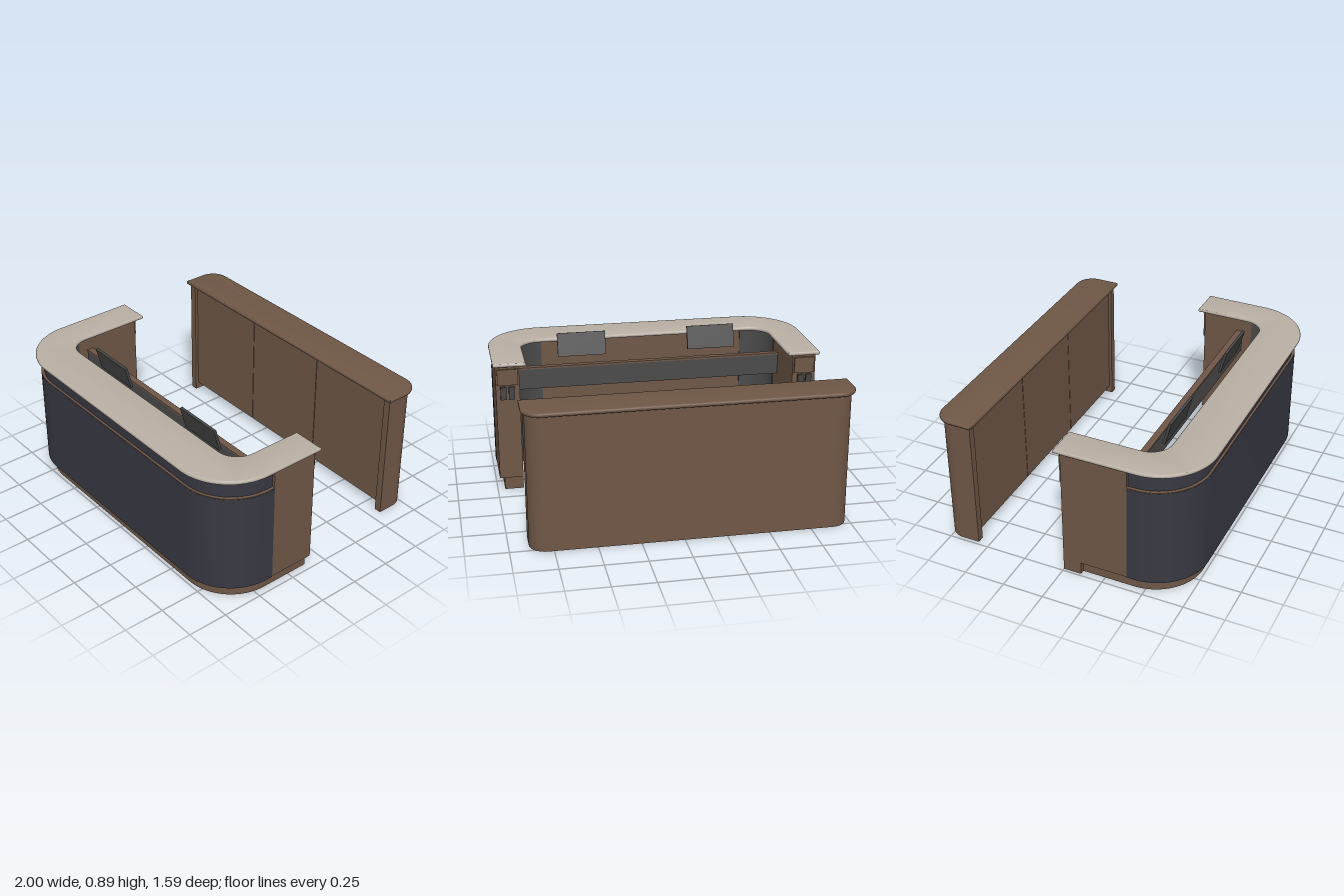
import * as THREE from 'three';
import { toCreasedNormals } from 'three/addons/utils/BufferGeometryUtils.js';

const material = (name, color) => {
  const m = new THREE.MeshStandardMaterial({ color });
  m.name = name;
  return m;
};

export function createModel() {
  const wood = material('walnut wood', 0x6f5746);
  const navy = material('navy panel', 0x383843);
  const stone = material('beige stone', 0xb9afa4);
  const grey = material('grey metal', 0x4a4a4b);
  const dark = material('dark plastic', 0x454546);

  const model = new THREE.Group();
  model.name = 'receptionDesk';

  const add = (parent, name, geo, mat) => {
    const mesh = new THREE.Mesh(geo, mat);
    mesh.name = name;
    parent.add(mesh);
    return mesh;
  };
  const group = (name) => {
    const g = new THREE.Group();
    g.name = name;
    model.add(g);
    return g;
  };
  // Box given by its limits on each axis
  const box = (parent, name, mat, x0, x1, y0, y1, z0, z1) => {
    const mesh = add(parent, name, new THREE.BoxGeometry(x1 - x0, y1 - y0, z1 - z0), mat);
    mesh.position.set((x0 + x1) / 2, (y0 + y1) / 2, (z0 + z1) / 2);
    return mesh;
  };
  // Plan outline (drawn in x, -z) raised from y0 to y1, with optional rounded edges
  const raise = (shape, y0, y1, bevel = 0) => {
    const geo = new THREE.ExtrudeGeometry(shape, {
      depth: y1 - y0 - 2 * bevel, curveSegments: 14, bevelEnabled: bevel > 0,
      bevelThickness: bevel, bevelSize: bevel, bevelOffset: -bevel, bevelSegments: 3,
    });
    geo.rotateX(-Math.PI / 2);
    geo.translate(0, y0 + bevel, 0);
    return toCreasedNormals(geo, 0.6);
  };
  // U-shaped plan: half width w, front z f, corner radius r, leg and front thickness
  const uShape = (w, f, r, tLeg, tFront, rIn, endNeg, endPos) => {
    const s = new THREE.Shape();
    const wi = w - tLeg, fi = f - tFront;
    s.moveTo(-w, -endNeg);
    s.lineTo(-w, -(f - r));
    s.absarc(-w + r, -(f - r), r, Math.PI, Math.PI * 1.5, false);
    s.absarc(w - r, -(f - r), r, -Math.PI / 2, 0, false);
    s.lineTo(w, -endPos);
    s.lineTo(wi, -endPos);
    s.absarc(wi - rIn, -(fi - rIn), rIn, 0, -Math.PI / 2, true);
    s.absarc(-wi + rIn, -(fi - rIn), rIn, -Math.PI / 2, -Math.PI, true);
    s.lineTo(-wi, -endNeg);
    s.closePath();
    return s;
  };

  // Counter: plinth, core, curved cladding and top
  const counter = group('counter');
  add(counter, 'plinth', raise(uShape(0.955, 0.73, 0.3, 0.115, 0.115, 0.185, 0.02, 0.12), 0, 0.08), wood);
  add(counter, 'counterCore', raise(uShape(0.955, 0.735, 0.3, 0.115, 0.12, 0.185, 0.4, 0.4), 0.08, 0.81), wood);
  add(counter, 'frontCladding', raise(uShape(0.988, 0.765, 0.32, 0.03, 0.03, 0.29, 0.4, 0.4), 0.08, 0.70), navy);
  add(counter, 'claddingTrim', raise(uShape(0.987, 0.764, 0.32, 0.03, 0.03, 0.29, 0.4, 0.4), 0.70, 0.704), wood);
  add(counter, 'upperBand', raise(uShape(0.968, 0.75, 0.31, 0.02, 0.02, 0.29, 0.4, 0.4), 0.704, 0.81), navy);
  add(counter, 'countertop', raise(uShape(1, 0.795, 0.34, 0.2, 0.262, 0.13, -0.037, 0.078), 0.81, 0.834, 0.009), stone);

  // Leg end panels with a cover plate and two sockets each
  for (const [side, end] of [[-1, 0], [1, 0.11]]) {
    const leg = group(side < 0 ? 'rightLeg' : 'leftLeg');
    const span = (a, b) => (side < 0 ? [-b, -a] : [a, b]);
    box(leg, 'legPanel', wood, ...span(0.84, 0.985), 0.08, 0.81, end, 0.4);
    if (side < 0) box(leg, 'endPost', wood, ...span(0.84, 0.985), 0, 0.08, 0, 0.11);
    box(leg, 'coverPlate', wood, ...span(0.85, 0.975), 0.69, 0.79, end - 0.012, end);
    for (const x of [0.872, 0.922]) {
      box(leg, 'socket', dark, ...span(x, x + 0.036), 0.6, 0.68, end - 0.02, end);
    }
  }

  // Curved grey lining in the inner corners
  for (const side of [-1, 1]) {
    const s = new THREE.Shape();
    const a = side < 0 ? Math.PI : -Math.PI / 2;
    const cx = side * 0.655, cz = -0.43;
    s.absarc(cx, cz, 0.187, a, a + Math.PI / 2, false);
    s.absarc(cx, cz, 0.18, a + Math.PI / 2, a, true);
    s.closePath();
    add(counter, 'cornerLining', raise(s, 0.08, 0.81), grey);
  }

  // Cross beam between the legs
  const beam = group('crossBeam');
  box(beam, 'beamBody', grey, -0.84, 0.84, 0.575, 0.703, 0.333, 0.367);
  box(beam, 'beamCap', wood, -0.84, 0.84, 0.703, 0.715, 0.33, 0.37);

  // Tilted monitors behind the counter
  for (const x of [-0.42, 0.415]) {
    const monitor = group('monitor');
    add(monitor, 'monitorBody', new THREE.BoxGeometry(0.305, 0.148, 0.016), dark);
    monitor.position.set(x, 0.812, 0.454);
    monitor.rotation.x = 0.26;
  }

  // Back wall unit: cap over a thin shell with rounded rear corners
  const wall = group('backWall');
  const capShape = new THREE.Shape();
  capShape.moveTo(-1, 0.55);
  capShape.lineTo(0.905, 0.55);
  capShape.absarc(0.795, 0.687, 0.11, 0, Math.PI / 2, false);
  capShape.absarc(-0.89, 0.687, 0.11, Math.PI / 2, Math.PI, false);
  capShape.closePath();
  add(wall, 'wallCap', raise(capShape, 0.81, 0.834, 0.008), wood);

  const shell = new THREE.Shape();
  shell.moveTo(-0.98, 0.57);
  shell.lineTo(-0.935, 0.57);
  shell.absarc(-0.88, 0.68, 0.055, Math.PI, Math.PI / 2, true);
  shell.absarc(0.785, 0.68, 0.055, Math.PI / 2, 0, true);
  shell.lineTo(0.84, 0.57);
  shell.lineTo(0.885, 0.57);
  shell.absarc(0.785, 0.68, 0.1, 0, Math.PI / 2, false);
  shell.absarc(-0.88, 0.68, 0.1, Math.PI / 2, Math.PI, false);
  shell.closePath();
  add(wall, 'wallShell', raise(shell, 0, 0.81), wood);

  // Three doors, just behind the shell's front edge, with narrow gaps
  const step = 1.775 / 3;
  for (let i = 0; i < 3; i++) {
    const x = -0.935 + i * step;
    box(wall, 'wallDoor', wood, x + 0.002, x + step - 0.002, 0.05, 0.81, -0.61, -0.588);
  }
  return model;
}
